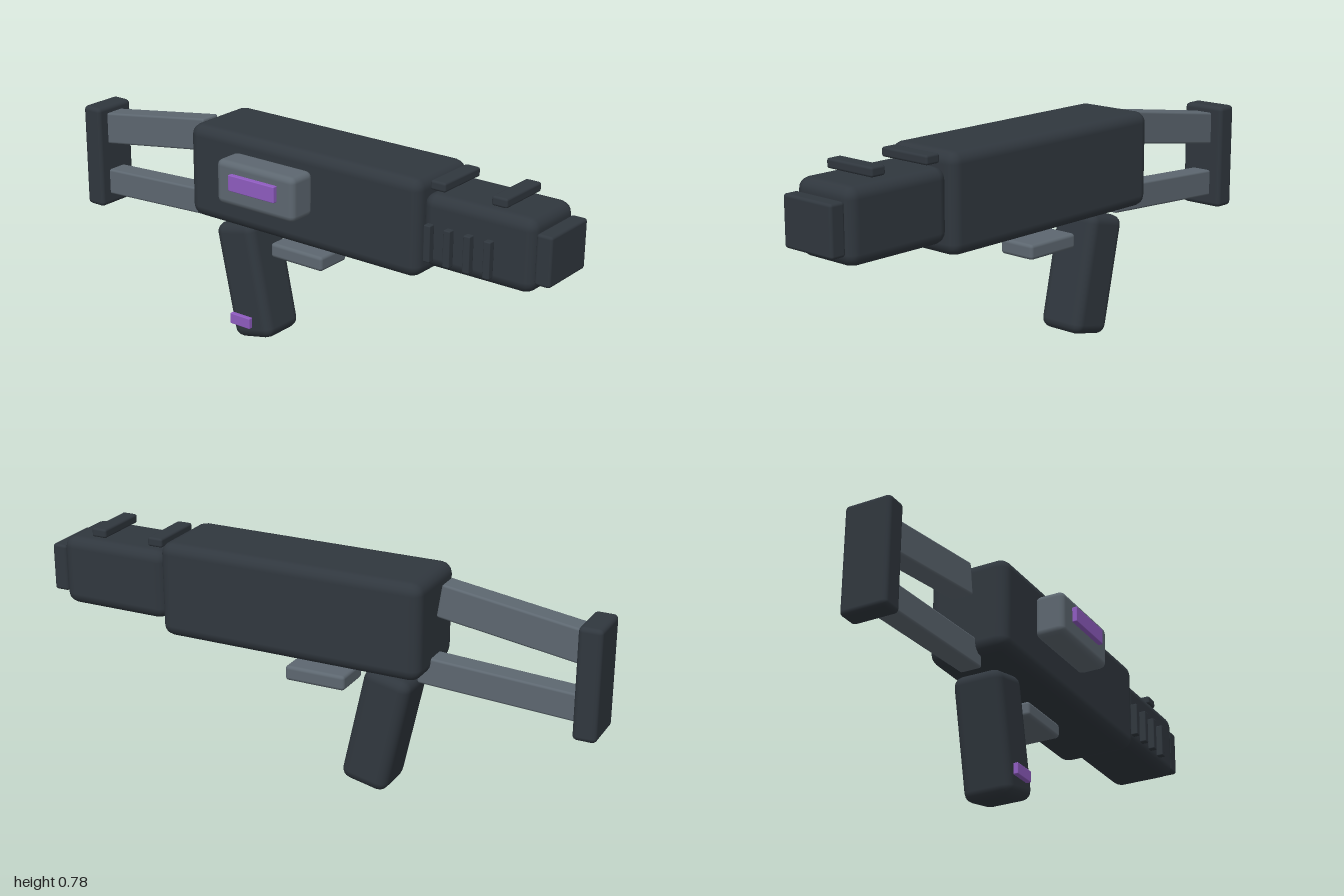
import * as THREE from 'three';
import { RoundedBoxGeometry } from 'three/addons/geometries/RoundedBoxGeometry.js';

function material(name, color) {
  const m = new THREE.MeshStandardMaterial({ color });
  m.name = name;
  return m;
}

export function createModel() {
  const model = new THREE.Group();
  model.name = 'blaster';
  const dark = material('dark gunmetal', 0x30373e);
  const grey = material('steel grey', 0x5d6770);
  const purple = material('purple light', 0x8f5cc0);

  // rounded block from its centre and size, optionally tilted about z
  function block(name, mat, [x, y, z], [w, h, d], radius, tilt = 0) {
    const mesh = new THREE.Mesh(new RoundedBoxGeometry(w, h, d, 2, radius), mat);
    mesh.name = name;
    mesh.position.set(x, y, z);
    mesh.rotation.z = tilt;
    model.add(mesh);
    return mesh;
  }

  // receiver, barrel and muzzle
  block('body', dark, [0.06, 0.622, -0.058], [0.96, 0.335, 0.295], 0.04);
  block('barrel', dark, [0.74, 0.623, -0.06], [0.41, 0.247, 0.25], 0.04);
  block('muzzle', dark, [0.972, 0.621, -0.057], [0.056, 0.168, 0.215], 0.01);

  // cross rails on top of the barrel
  for (const x of [0.58, 0.805]) {
    block('topRail', dark, [x, 0.771, -0.059], [0.057, 0.032, 0.203], 0.008);
  }
  // vent ribs on the barrel side
  for (let i = 0; i < 4; i++) {
    block('ventRib', dark, [0.575 + i * 0.0737, 0.592, 0.077], [0.025, 0.124, 0.026], 0.004);
  }

  // side pod with its light strip
  block('sidePod', grey, [-0.045, 0.655, 0.135], [0.33, 0.156, 0.11], 0.022);
  block('podLight', purple, [-0.044, 0.668, 0.197], [0.195, 0.056, 0.02], 0.003);

  // grip, its light and the trigger block
  block('grip', dark, [-0.238, 0.225, -0.058], [0.17, 0.425, 0.18], 0.035, 0.215);
  block('gripLight', purple, [-0.227, 0.087, 0.048], [0.088, 0.04, 0.018], 0.003);
  block('trigger', grey, [-0.01, 0.371, -0.059], [0.222, 0.053, 0.143], 0.012);

  // skeleton stock
  block('upperStrut', grey, [-0.69, 0.676, -0.062], [0.5, 0.116, 0.08], 0.008, 0.15);
  block('lowerStrut', grey, [-0.657, 0.448, -0.062], [0.565, 0.096, 0.08], 0.008, 0.055);
  block('buttPlate', dark, [-0.96, 0.534, -0.063], [0.08, 0.382, 0.168], 0.016);

  return model;
}
